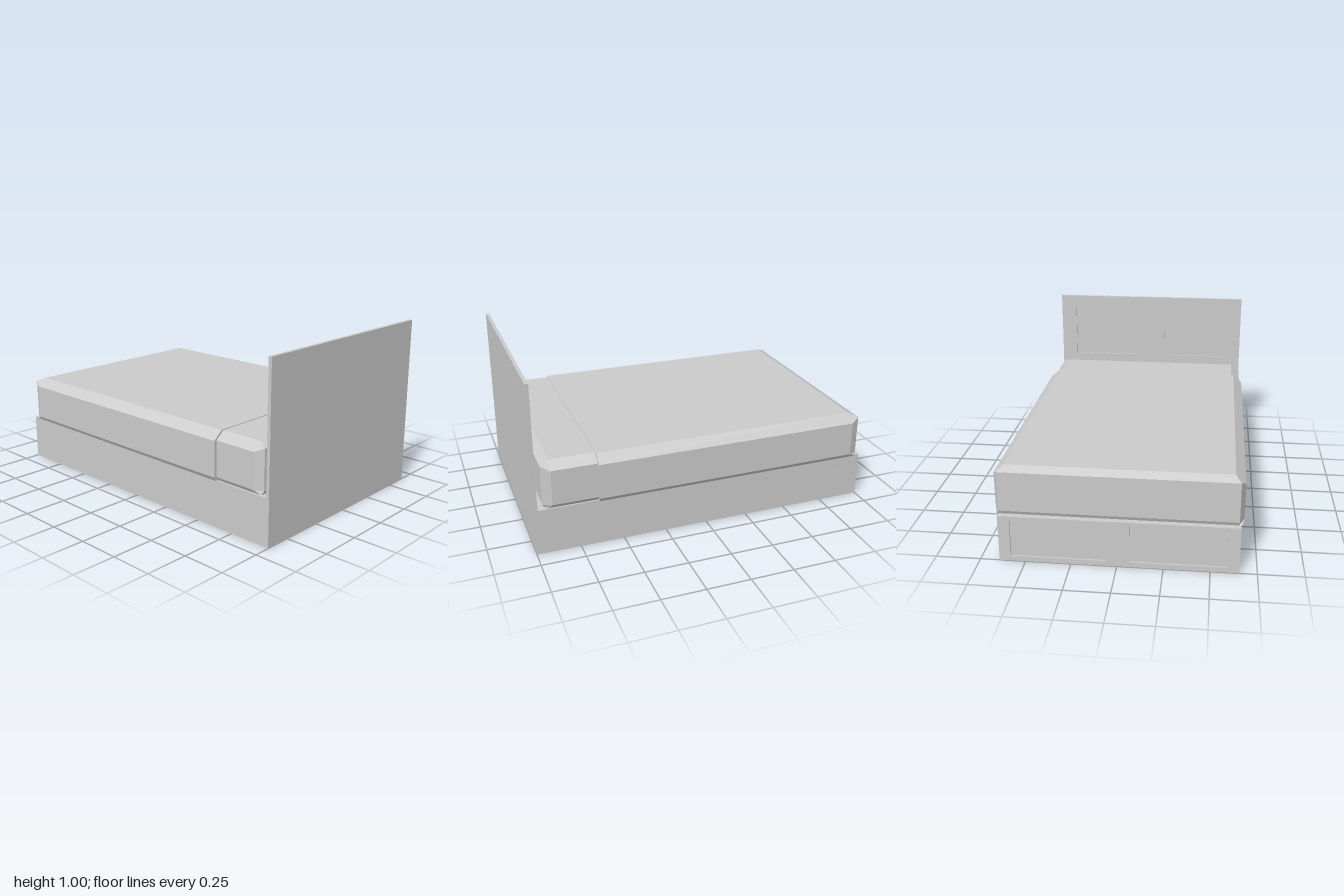
import * as THREE from 'three';

const CX = -0.006, W = 1.298;
const material = new THREE.MeshStandardMaterial({ color: 0xcccccc, flatShading: true });

function add(parent, name, geometry, x = 0, y = 0, z = 0) {
  const mesh = new THREE.Mesh(geometry, material);
  mesh.name = name;
  mesh.position.set(x, y, z);
  parent.add(mesh);
  return mesh;
}

function rect(target, x0, x1, y0, y1) {
  target.moveTo(x0, y0);
  target.lineTo(x1, y0);
  target.lineTo(x1, y1);
  target.lineTo(x0, y1);
  target.closePath();
  return target;
}

// Flat sheet with two mirrored rectangular openings
function twoPanelFrame(height, inner, outer, y0, y1, depth) {
  const shape = rect(new THREE.Shape(), -W / 2, W / 2, 0, height);
  shape.holes.push(rect(new THREE.Path(), -outer, -inner, y0, y1));
  shape.holes.push(rect(new THREE.Path(), inner, outer, y0, y1));
  return new THREE.ExtrudeGeometry(shape, { depth, bevelEnabled: false });
}

// Padded slab: cut flat at z = cut, bevelled along its sides and its end at z = -end
function paddedSlab(hx, cut, end, top) {
  const side = -(end - 0.05);
  // Half outline of each ring: cut corner, side corner, end corner
  const halves = [
    [[hx - 0.013, 0.268, cut], [hx - 0.013, 0.268, -(end - 0.01)], [hx - 0.03, 0.268, -(end - 0.01)]],
    [[hx, 0.29, cut], [hx, 0.29, side], [hx - 0.025, 0.29, -end]],
    [[hx, 0.495, cut], [hx, 0.495, side], [hx - 0.025, 0.518, -end]],
    [[hx - 0.055, top, cut], [hx - 0.055, top, side], [hx - 0.055, top, side]]
  ];
  const rings = halves.map(h => [...h, ...h.slice().reverse().map(([x, y, z]) => [-x, y, z])]);
  const positions = [];
  const tri = (a, b, c) => positions.push(...a, ...b, ...c);
  for (let r = 0; r < rings.length - 1; r++) {
    for (let i = 0; i < 6; i++) {
      const j = (i + 1) % 6;
      const a = rings[r][i], b = rings[r][j], c = rings[r + 1][j], d = rings[r + 1][i];
      tri(a, b, c);
      tri(a, c, d);
    }
  }
  const bottom = rings[0], lid = rings[3];
  for (let i = 1; i < 5; i++) {
    tri(bottom[0], bottom[i + 1], bottom[i]);
    tri(lid[0], lid[i], lid[i + 1]);
  }
  const g = new THREE.BufferGeometry();
  g.setAttribute('position', new THREE.Float32BufferAttribute(positions, 3));
  g.computeVertexNormals();
  return g;
}

export function createModel() {
  const bed = new THREE.Group();
  bed.name = 'bed';

  // Base with a panelled foot end
  const base = new THREE.Group();
  base.name = 'base';
  bed.add(base);
  add(base, 'baseBox', new THREE.BoxGeometry(W, 0.27, 1.97), CX, 0.135, -0.005);
  add(base, 'footPanelFrame', twoPanelFrame(0.27, 0.065, 0.585, 0.03, 0.245, 0.01), CX, 0, -1);

  // Headboard with two recessed panels facing the mattress
  const headboard = new THREE.Group();
  headboard.name = 'headboard';
  bed.add(headboard);
  add(headboard, 'headboardBack', new THREE.BoxGeometry(W, 1, 0.01), CX, 0.5, 0.995);
  add(headboard, 'headboardPanelFrame', twoPanelFrame(1, 0.1, 0.545, 0.57, 0.92, 0.01), CX, 0, 0.98);

  // Mattress end near the headboard, and the cover over the rest
  const mattress = add(bed, 'mattress', paddedSlab(0.65, -0.6, 0.948, 0.538), -0.005);
  mattress.rotation.y = Math.PI;
  add(bed, 'cover', paddedSlab(0.668, 0.64, 0.975, 0.542), -0.002);

  // Thin square plate on the left side of the base
  const plate = new THREE.Group();
  plate.name = 'sidePlate';
  bed.add(plate);
  add(plate, 'plateBacking', new THREE.BoxGeometry(0.002, 0.22, 0.2), CX + W / 2, 0.135, -0.885);
  add(plate, 'plateTile', new THREE.BoxGeometry(0.006, 0.09, 0.1), CX + W / 2, 0.135, -0.875);

  return bed;
}
